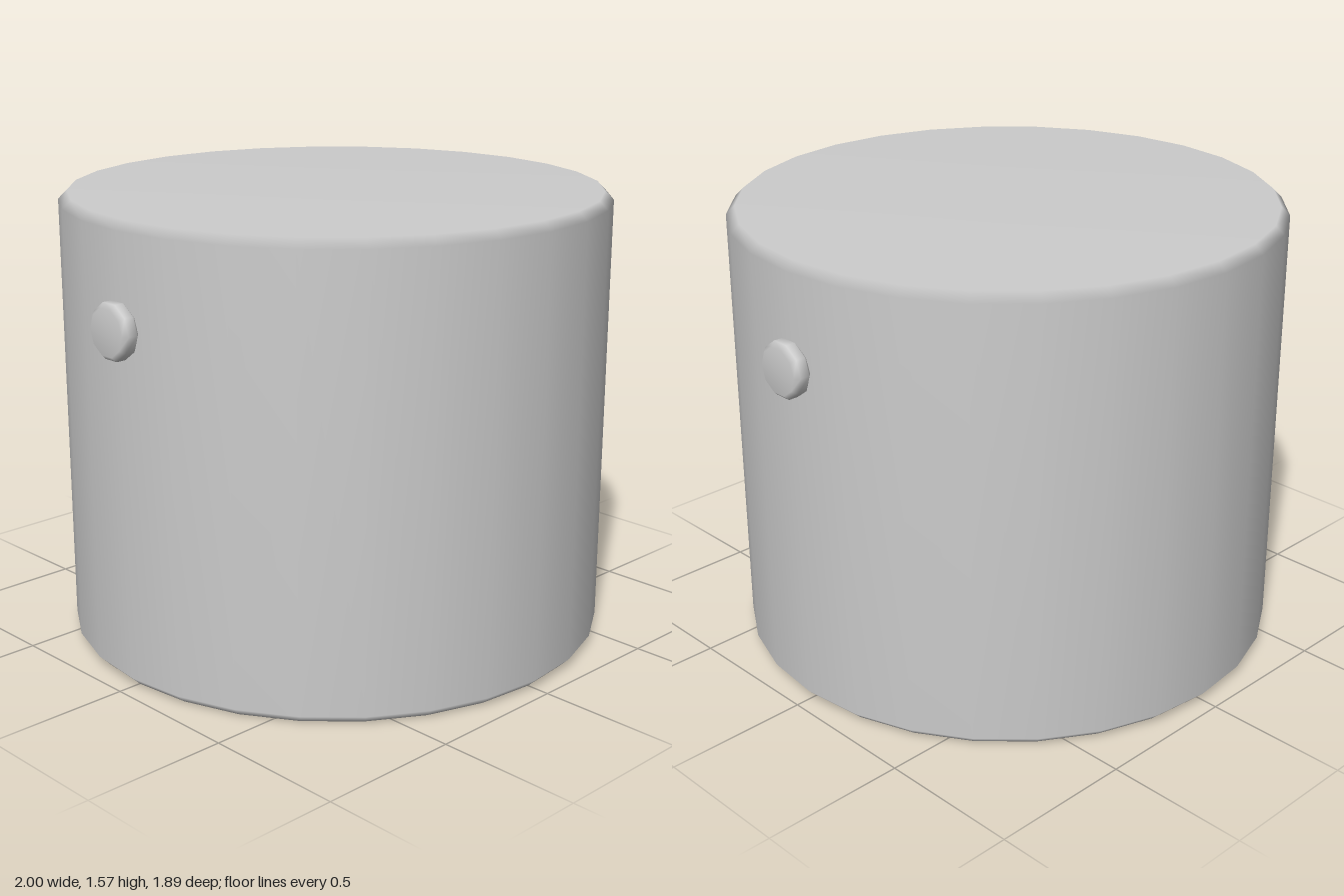
import * as THREE from 'three';

const material = new THREE.MeshStandardMaterial({ color: 0xcccccc });

// Solid drum along y with a bevel at both ends
function bevelledDrum(radius, bottom, top, inset, bevel, sides) {
  const profile = [
    [0, bottom],
    [radius - inset, bottom],
    [radius, bottom + bevel],
    [radius, top - bevel],
    [radius - inset, top],
    [0, top],
  ].map(([r, y]) => new THREE.Vector2(r, y));
  return new THREE.LatheGeometry(profile, sides);
}

export function createModel() {
  const model = new THREE.Group();
  model.name = 'drumWithPegs';

  // Main body
  const body = new THREE.Mesh(bevelledDrum(0.947, 0, 1.57, 0.03, 0.03, 28), material);
  body.name = 'body';
  model.add(body);

  // Small ten-sided peg on each side
  const pegGeometry = bevelledDrum(0.096, 0.935, 1, 0.016, 0.016, 10);
  for (const side of [1, -1]) {
    const peg = new THREE.Mesh(pegGeometry, material);
    peg.name = side > 0 ? 'leftPeg' : 'rightPeg';
    peg.rotation.z = -side * Math.PI / 2;
    peg.position.y = 1.225;
    model.add(peg);
  }

  return model;
}
